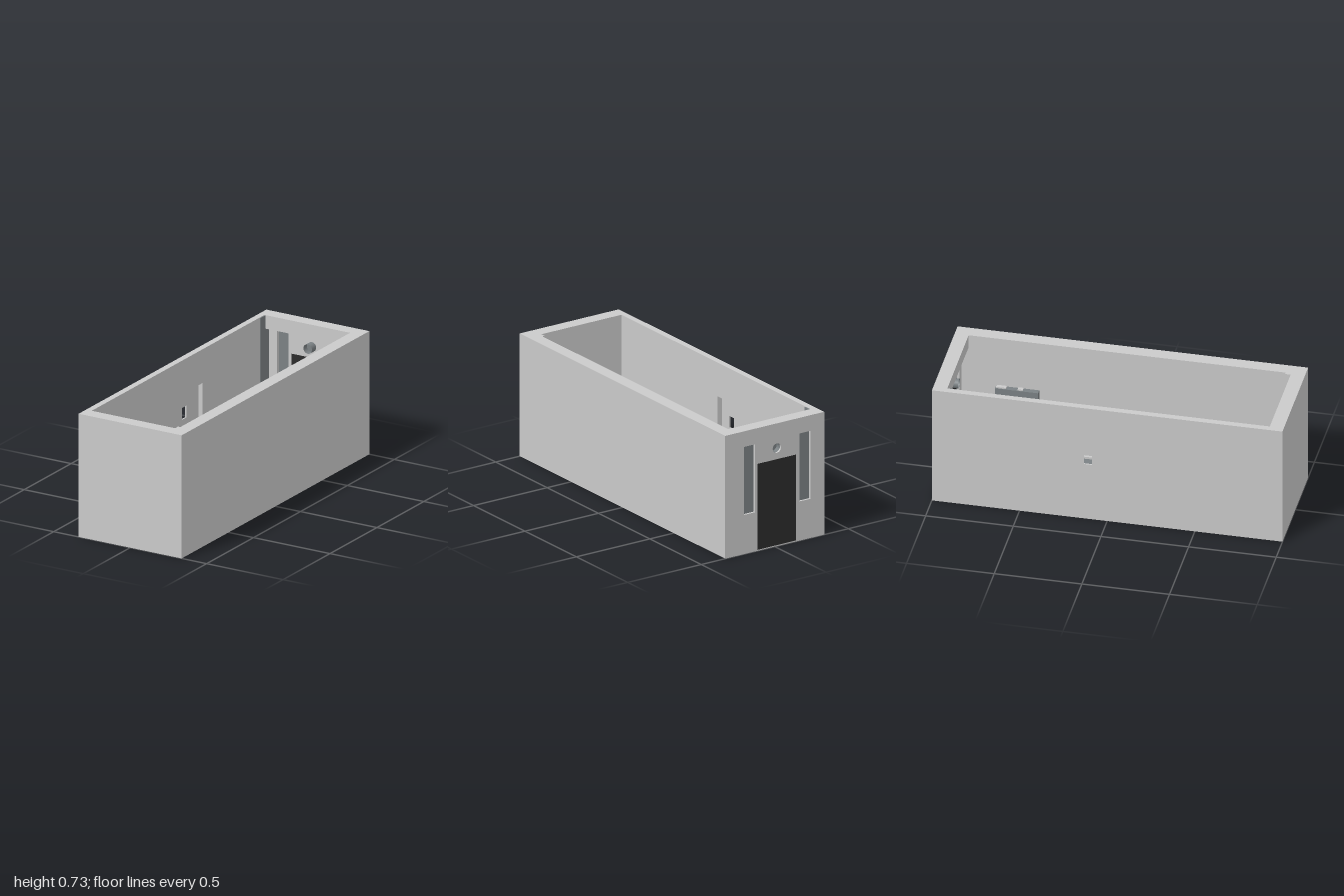
import * as THREE from 'three';

const mat = (name, color, side = THREE.FrontSide) => {
  const m = new THREE.MeshStandardMaterial({ color, side });
  m.name = name;
  return m;
};

export function createModel() {
  const grey = mat('concrete grey', 0xcacaca);
  const slate = mat('slate', 0x7b8184);
  const slateOpen = mat('slate two-sided', 0x7b8184, THREE.DoubleSide);
  const black = mat('door black', 0x2b2b2b);
  const room = new THREE.Group();
  room.name = 'room';

  const add = (name, geometry, material) => {
    const mesh = new THREE.Mesh(geometry, material);
    mesh.name = name;
    room.add(mesh);
    return mesh;
  };
  // Box given by its minimum and maximum on each axis
  const box = (name, material, x0, x1, y0, y1, z0, z1) =>
    add(name, new THREE.BoxGeometry(x1 - x0, y1 - y0, z1 - z0)
      .translate((x0 + x1) / 2, (y0 + y1) / 2, (z0 + z1) / 2), material);
  const rect = (C, u0, u1, v0, v1) =>
    new C([[u0, v0], [u1, v0], [u1, v1], [u0, v1]].map(([u, v]) => new THREE.Vector2(u, v)));
  const wall = (outline, holes, depth) => {
    const shape = rect(THREE.Shape, ...outline);
    shape.holes.push(...holes);
    return new THREE.ExtrudeGeometry(shape, { depth, bevelEnabled: false, curveSegments: 24 });
  };

  const W = 0.337, H = 0.73, inL = -0.3, inR = 0.26, back = -0.96;

  // Base and floor
  box('base', grey, inL, inR, 0, 0.006, back, 0.92);
  box('floor', slate, inL, inR, 0.006, 0.012, back, 0.92);
  box('floorLedge', grey, 0.245, inR, 0.012, 0.025, -0.517, 0.888);

  // Plain walls, corner step and header over the entrance recess
  box('frontWall', grey, inL, inR, 0, H, 0.92, 1);
  box('leftWall', grey, inR, W, 0, H, back, 1);
  box('cornerStep', grey, 0.245, inR, 0, H, 0.888, 0.92);
  box('entranceHeader', grey, inL, inR, 0.65, H, back, -0.92);

  // Right wall: outer skin with a small window, inner layer with a door niche
  const port = rect(THREE.Path, -0.133, -0.086, 0.36, 0.43);
  const niche = rect(THREE.Path, -0.26, -0.015, 0.012, 0.53);
  add('rightWallSkin', wall([back, 1, 0, H], [port], 0.009)
    .rotateY(-Math.PI / 2).translate(-0.328, 0, 0), grey);
  add('rightWallInner', wall([back, 1, 0, H], [niche], 0.028)
    .rotateY(-Math.PI / 2).translate(inL, 0, 0), grey);
  box('cornerPanel', slate, inL, -0.294, 0.012, 0.728, back, -0.87);

  // Back wall with two tall windows, a round opening and the doorway
  const windows = [[-0.242, -0.168], [0.135, 0.208]];
  const eye = new THREE.Path().absarc(-0.014, 0.583, 0.028, 0, Math.PI * 2);
  const doorway = rect(THREE.Path, -0.146, 0.118, 0.006, 0.517);
  const panes = windows.map(([a, b]) => rect(THREE.Path, a, b, 0.233, 0.637));
  add('backWall', wall([-W, W, 0, H], [...panes, eye, doorway], 0.04).translate(0, 0, -1), grey);
  windows.forEach(([a, b]) => box('windowPane', slate, a, b, 0.233, 0.637, -0.987, -0.981));
  box('door', black, -0.146, 0.118, 0.006, 0.517, -1, -0.958);

  // Round spyhole tube reaching into the room
  add('spyholeTube', new THREE.CylinderGeometry(0.028, 0.028, 0.075, 24, 1, true)
    .rotateX(Math.PI / 2).translate(-0.014, 0.583, -0.9525), slateOpen);
  add('spyholePane', new THREE.CylinderGeometry(0.028, 0.028, 0.006, 24)
    .rotateX(Math.PI / 2).translate(-0.014, 0.583, -0.955), slate);

  // Small wall unit beside the entrance
  box('wallUnit', slate, 0.228, inR, 0.25, 0.42, -0.763, -0.517);
  box('wallUnitCap', grey, 0.232, 0.254, 0.42, 0.428, -0.758, -0.7);
  box('wallUnitKnob', grey, 0.232, 0.254, 0.42, 0.428, -0.635, -0.605);

  return room;
}
